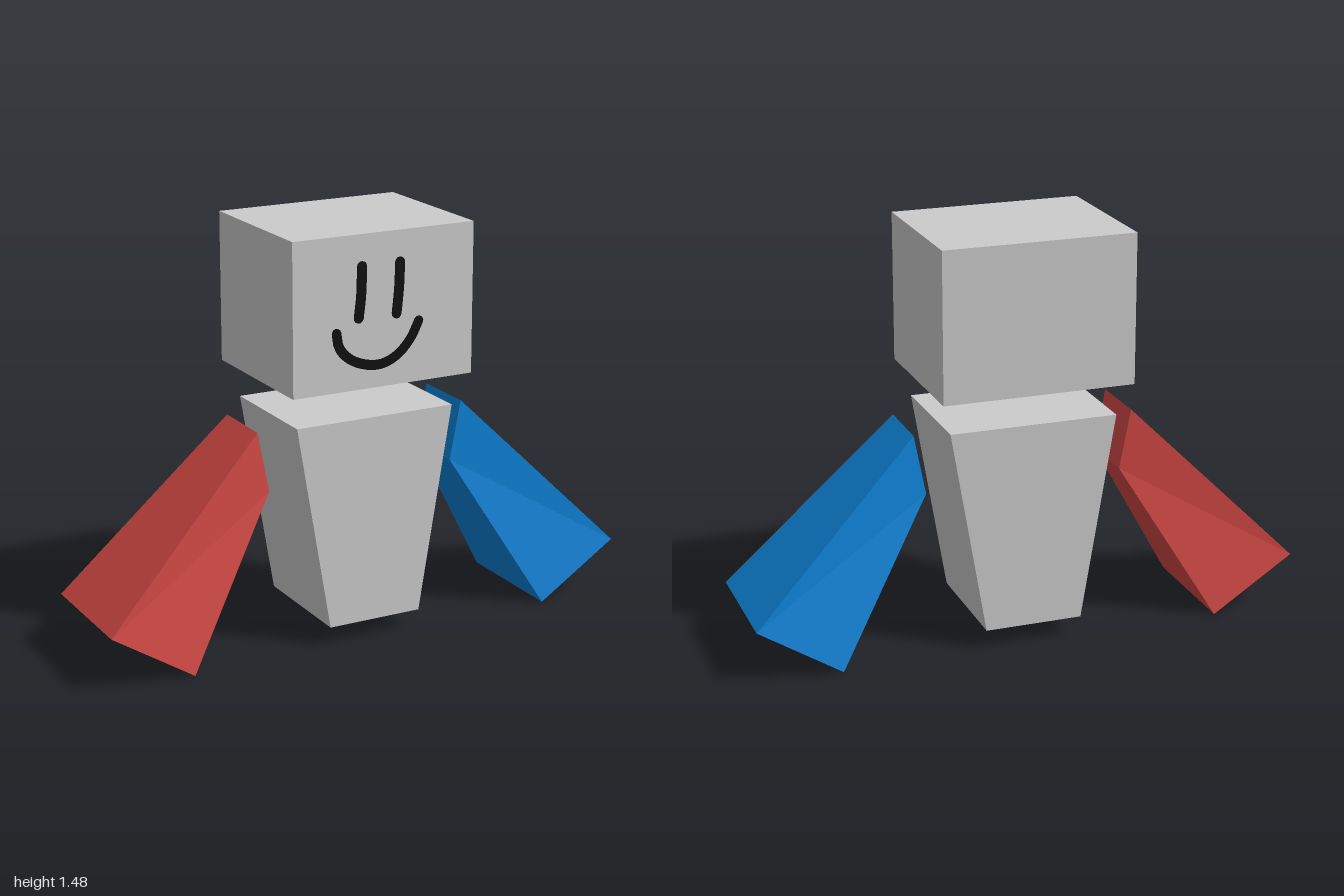
import * as THREE from 'three';

const mat = (name, color) => {
  const m = new THREE.MeshStandardMaterial({ color });
  m.name = name;
  return m;
};

// Block from a four-corner outline, counterclockwise from the front: [x, y, half depth]
function block(name, p, material) {
  const pos = [];
  const at = (i, side) => [p[i][0], p[i][1], side * p[i][2]];
  const tri = (a, b, c) => pos.push(...a, ...b, ...c);
  for (const [a, b, c] of [[0, 1, 3], [1, 2, 3]]) {
    tri(at(a, 1), at(b, 1), at(c, 1));
    tri(at(a, -1), at(c, -1), at(b, -1));
  }
  for (let i = 0; i < 4; i++) {
    const j = (i + 1) % 4;
    tri(at(i, 1), at(i, -1), at(j, -1));
    tri(at(i, 1), at(j, -1), at(j, 1));
  }
  const g = new THREE.BufferGeometry();
  g.setAttribute('position', new THREE.Float32BufferAttribute(pos, 3));
  g.computeVertexNormals();
  const mesh = new THREE.Mesh(g, material);
  mesh.name = name;
  return mesh;
}

// Thin brush stroke with round ends along a smooth path
function stroke(name, points, width, z, material) {
  const curve = new THREE.CatmullRomCurve3(points.map(([x, y]) => new THREE.Vector3(x, y, 0)));
  const n = 24, r = width / 2, left = [], right = [];
  const cap = (c, t, dir) => {
    const start = Math.atan2(t.y, t.x) + dir;
    return [1, 2, 3, 4, 5].map((k) => {
      const a = start - (k * Math.PI) / 6;
      return new THREE.Vector2(c.x + r * Math.cos(a), c.y + r * Math.sin(a));
    });
  };
  for (let i = 0; i <= n; i++) {
    const c = curve.getPointAt(i / n), t = curve.getTangentAt(i / n);
    left.push(new THREE.Vector2(c.x - t.y * r, c.y + t.x * r));
    right.unshift(new THREE.Vector2(c.x + t.y * r, c.y - t.x * r));
  }
  const endCap = cap(curve.getPointAt(1), curve.getTangentAt(1), Math.PI / 2);
  const startCap = cap(curve.getPointAt(0), curve.getTangentAt(0), -Math.PI / 2);
  const shape = new THREE.Shape([...left, ...endCap, ...right, ...startCap]);
  const g = new THREE.ExtrudeGeometry(shape, { depth: 0.004, bevelEnabled: false });
  const mesh = new THREE.Mesh(g, material);
  mesh.name = name;
  mesh.position.z = z;
  return mesh;
}

export function createModel() {
  const model = new THREE.Group();
  model.name = 'blockFigure';
  const grey = mat('light grey', 0xcbcbcb);
  const red = mat('red', 0xd34845);
  const blue = mat('blue', 0x0d84da);
  const black = mat('black', 0x0c0c0c);

  // Head
  const head = new THREE.Mesh(new THREE.BoxGeometry(0.69, 0.535, 0.556), grey);
  head.name = 'head';
  head.position.y = 1.208;
  model.add(head);

  // Painted face
  const face = new THREE.Group();
  face.name = 'face';
  const z = 0.278;
  face.add(
    stroke('rightEye', [[-0.087, 1.366], [-0.09, 1.27], [-0.099, 1.19]], 0.036, z, black),
    stroke('leftEye', [[0.058, 1.366], [0.055, 1.28], [0.046, 1.19]], 0.036, z, black),
    stroke('mouth', [[-0.183, 1.147], [-0.172, 1.095], [-0.12, 1.045], [-0.025, 1.02],
      [0.045, 1.042], [0.1, 1.095], [0.132, 1.154]], 0.034, z, black),
  );
  model.add(face);

  // Torso, narrowing downward in width only
  model.add(block('torso', [[-0.303, 0.816, 0.222], [-0.177, 0.07, 0.222],
    [0.177, 0.07, 0.222], [0.303, 0.816, 0.222]], grey));

  // Arms, flaring toward the hand end
  const arm = [[0.402, 0.79, 0.12], [0.36, 0.573, 0.12], [0.7, 0, 0.229], [1, 0.194, 0.229]];
  const mirrored = [0, 3, 2, 1].map((i) => [-arm[i][0], arm[i][1], arm[i][2]]);
  model.add(block('leftArm', arm, blue), block('rightArm', mirrored, red));

  return model;
}
